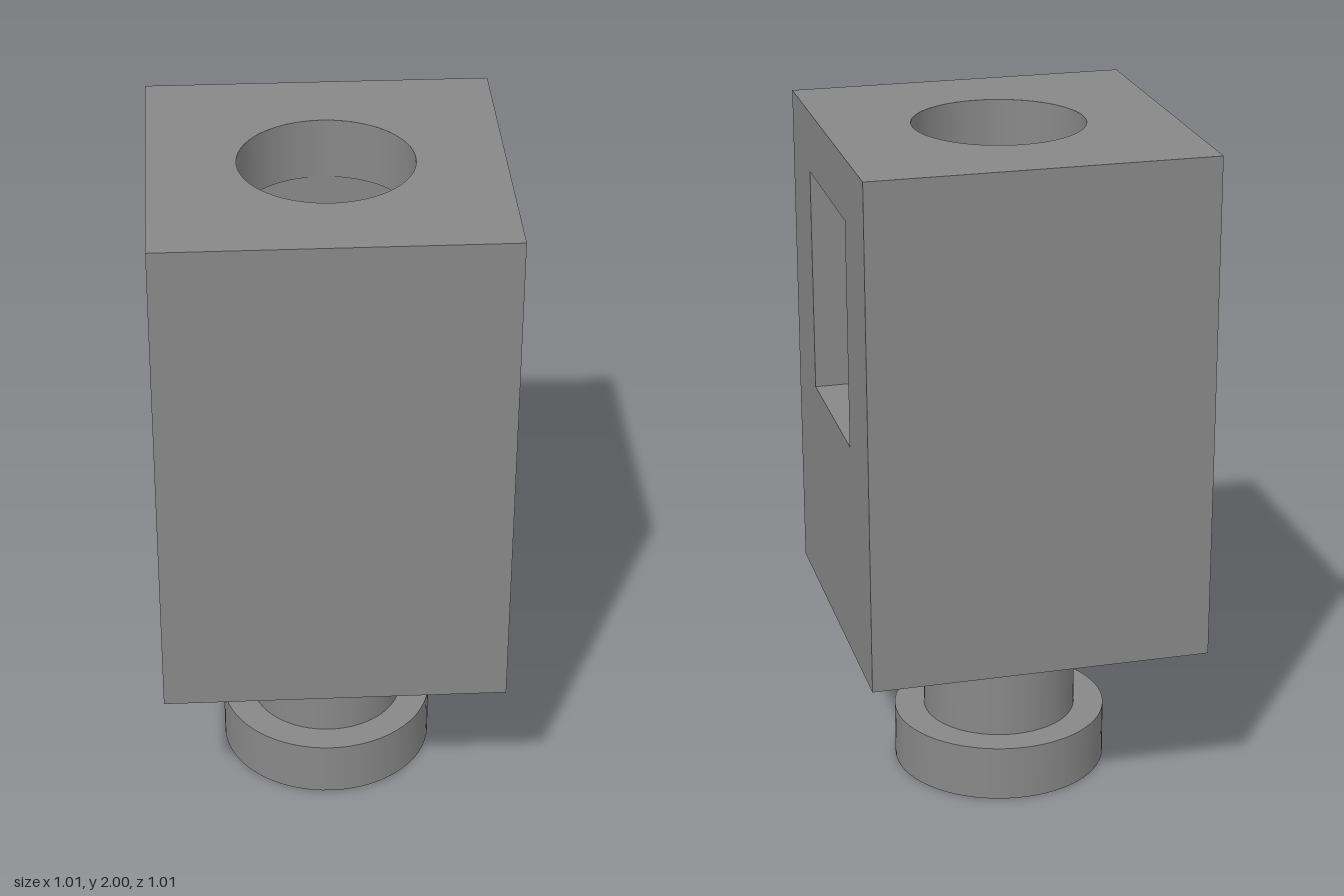
import * as THREE from 'three';

const BASE = 0.503, TOP = 2, HEIGHT = TOP - BASE;
const WIN_BOTTOM = 1.155, WIN_TOP = 1.82, WIN_WIDTH = 0.5;
const BORE = 0.2495, SEGMENTS = 64;

const rectangle = (w, h, cy = 0) => [
  [-w / 2, cy - h / 2], [w / 2, cy - h / 2], [w / 2, cy + h / 2], [-w / 2, cy + h / 2],
].map(([x, y]) => new THREE.Vector2(x, y));

// Flat face w by h, with an optional opening
function face(w, h, hole) {
  const shape = new THREE.Shape(rectangle(w, h));
  if (hole) shape.holes.push(hole);
  return new THREE.ShapeGeometry(shape, SEGMENTS);
}

export function createModel() {
  const grey = new THREE.MeshStandardMaterial({ color: 0x888888 });
  grey.name = 'steel grey';
  const model = new THREE.Group();
  model.name = 'swivelLug';

  const body = new THREE.Group();
  body.name = 'body';
  body.rotation.y = -0.0075; // the block sits slightly turned on its pin
  model.add(body);

  const add = (parent, name, geometry) => {
    const mesh = new THREE.Mesh(geometry, grey);
    mesh.name = name;
    parent.add(mesh);
  };

  const midY = (BASE + TOP) / 2;
  const winY = (WIN_BOTTOM + WIN_TOP) / 2, winHeight = WIN_TOP - WIN_BOTTOM;
  const windowHole = new THREE.Path(rectangle(WIN_WIDTH, winHeight, winY - midY));
  const boreHole = new THREE.Path().absarc(0, 0, BORE, 0, Math.PI * 2);

  // Outer walls; the window passes through left and right
  for (let i = 0; i < 4; i++) {
    const name = ['frontWall', 'leftWall', 'backWall', 'rightWall'][i];
    const wall = face(1, HEIGHT, i % 2 ? windowHole : null);
    add(body, name, wall.translate(0, midY, 0.5).rotateY(i * Math.PI / 2));
  }

  // Horizontal faces
  const up = -Math.PI / 2, down = Math.PI / 2;
  add(body, 'topFace', face(1, 1, boreHole).rotateX(up).translate(0, TOP, 0));
  add(body, 'bottomFace', face(1, 1).rotateX(down).translate(0, BASE, 0));
  add(body, 'windowFloor', face(1, WIN_WIDTH).rotateX(up).translate(0, WIN_BOTTOM, 0));
  add(body, 'windowCeiling', face(1, WIN_WIDTH, boreHole).rotateX(down).translate(0, WIN_TOP, 0));

  // Inner sides of the window
  for (const turn of [0, Math.PI]) {
    const side = face(1, winHeight).translate(0, winY, -WIN_WIDTH / 2).rotateY(turn);
    add(body, turn ? 'windowFrontSide' : 'windowBackSide', side);
  }

  // Turned surfaces, one lathe per profile segment to keep the edges sharp
  const turned = (parent, name, profile) => {
    const points = profile.map(([r, y]) => new THREE.Vector2(r, y));
    const group = new THREE.Group();
    group.name = name;
    for (let i = 1; i < points.length; i++) {
      add(group, name + 'Surface', new THREE.LatheGeometry([points[i - 1], points[i]], SEGMENTS));
    }
    parent.add(group);
  };
  turned(body, 'bore', [[BORE, TOP], [BORE, WIN_TOP]]);
  turned(model, 'pin', [[0, 0], [0.32, 0], [0.32, 0.168], [0.23, 0.168], [0.23, BASE]]);

  return model;
}
